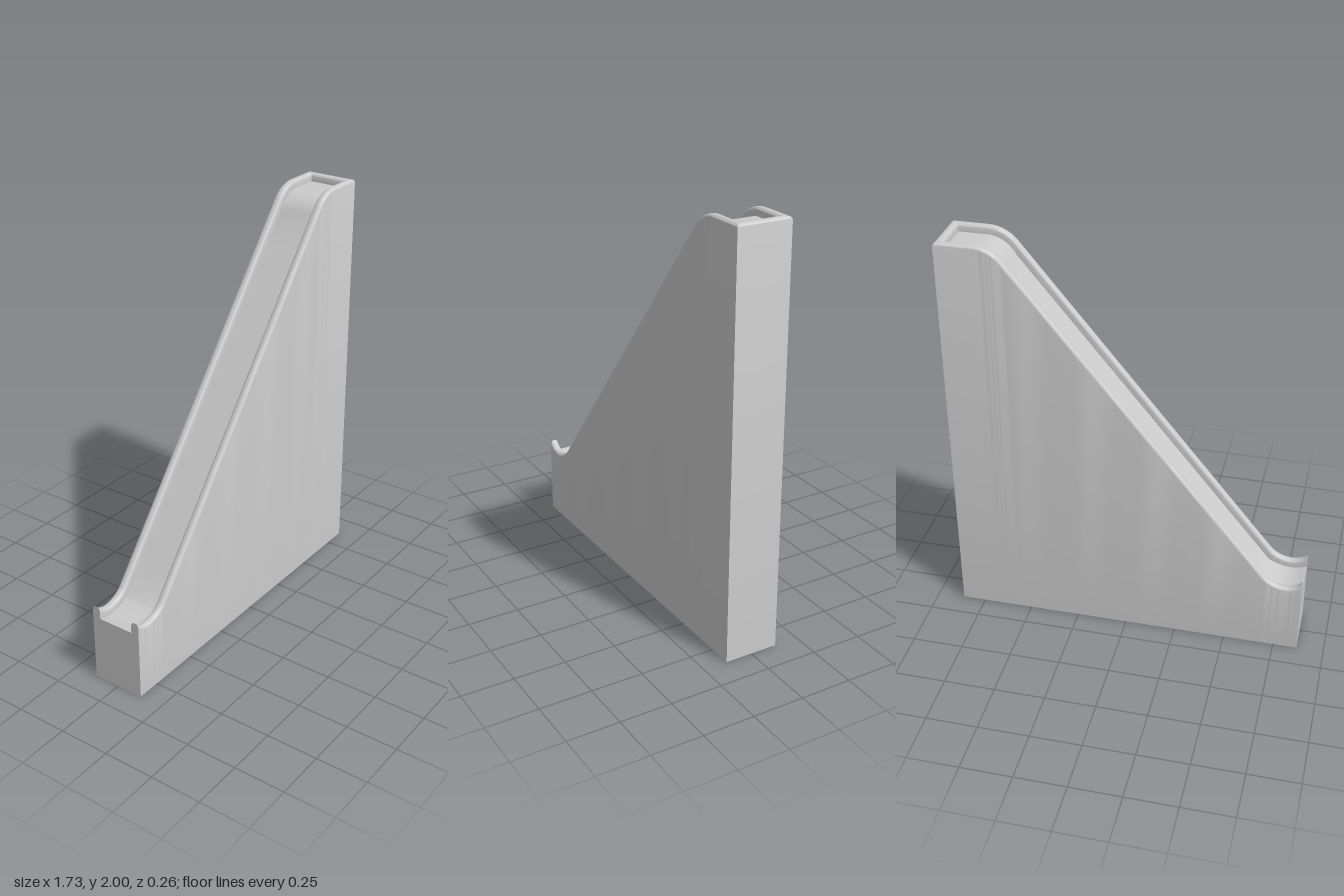
import * as THREE from 'three';
import { toCreasedNormals } from 'three/addons/utils/BufferGeometryUtils.js';

const X0 = -0.867, X1 = 0.865, HALF = 0.132;       // footprint
const RIM = 0.041, ROUND = 0.016, DEPTH = 0.038;   // rim width, edge rounding, channel depth

// Height and slope of the slide's side profile at x
function profile(x) {
  if (x < -0.679) {                                // dip at the foot
    const r = x < -0.79 ? 0.1 : 0.143, d = x + 0.79, c = Math.sqrt(r * r - d * d);
    return [0.36 + r - c, d / c];
  }
  if (x < 0.552) return [1.252 + 1.235 * x, 1.235]; // straight run
  if (x < 0.69) {                                  // crest
    const r = 0.177, d = 0.69 - x, c = Math.sqrt(r * r - d * d);
    return [2 - r + c, d / c];
  }
  return [2, 0];                                   // top platform
}

// How far the surface lies below the profile at a distance from the outer edge
function drop(e) {
  if (e > RIM + 0.0002) return DEPTH;
  const k = Math.max(0, ROUND - Math.min(e, RIM - e));
  return ROUND - Math.sqrt(Math.max(0, ROUND * ROUND - k * k));
}

const top = (x, z) => {
  const [y, s] = profile(x);
  return y - drop(Math.min(HALF - Math.abs(z), X1 - x)) * Math.sqrt(1 + s * s);
};

function span(a, b, n) {
  return Array.from({ length: n }, (_, i) => a + (b - a) * i / n);
}

// Sample distances across one rim, ending just past its inner wall
function rimSteps() {
  const arc = [];
  for (let i = 0; i <= 6; i++) arc.push(ROUND * (1 - Math.cos(i * Math.PI / 12)));
  return [...arc, ...arc.map(a => RIM - a).reverse(), RIM + 0.0004];
}

function slideGeometry() {
  const rim = rimSteps();
  const xs = [...span(X0, -0.79, 10), ...span(-0.79, -0.679, 10), ...span(-0.679, 0.552, 12),
    ...span(0.552, 0.69, 14), 0.69, ...rim.map(e => X1 - e).reverse()];
  const zs = [...rim.map(e => e - HALF), ...rim.map(e => HALF - e).reverse()];
  const pos = [];
  const quad = (a, b, c, d) => pos.push(...a, ...b, ...c, ...a, ...c, ...d);
  const T = (x, z) => [x, top(x, z), z], B = (x, z) => [x, 0, z];
  for (let i = 0; i < xs.length - 1; i++) {
    const a = xs[i], b = xs[i + 1];
    // channel, rims and end wall
    for (let j = 0; j < zs.length - 1; j++) {
      const p = zs[j], q = zs[j + 1];
      quad(T(a, p), T(a, q), T(b, q), T(b, p));
    }
    // flat sides and underside
    quad(B(a, HALF), B(b, HALF), T(b, HALF), T(a, HALF));
    quad(B(b, -HALF), B(a, -HALF), T(a, -HALF), T(b, -HALF));
    quad(B(a, -HALF), B(b, -HALF), B(b, HALF), B(a, HALF));
  }
  // foot end and tall end
  for (let j = 0; j < zs.length - 1; j++) {
    const p = zs[j], q = zs[j + 1];
    quad(B(X0, p), B(X0, q), T(X0, q), T(X0, p));
    quad(B(X1, q), B(X1, p), T(X1, p), T(X1, q));
  }
  const g = new THREE.BufferGeometry();
  g.setAttribute('position', new THREE.Float32BufferAttribute(pos, 3));
  return toCreasedNormals(g, 0.6);
}

export function createModel() {
  const group = new THREE.Group();
  group.name = 'slideRamp';
  const body = new THREE.Mesh(slideGeometry(), new THREE.MeshStandardMaterial({ color: 0xcccccc }));
  body.name = 'rampWithChannel';
  group.add(body);
  return group;
}
